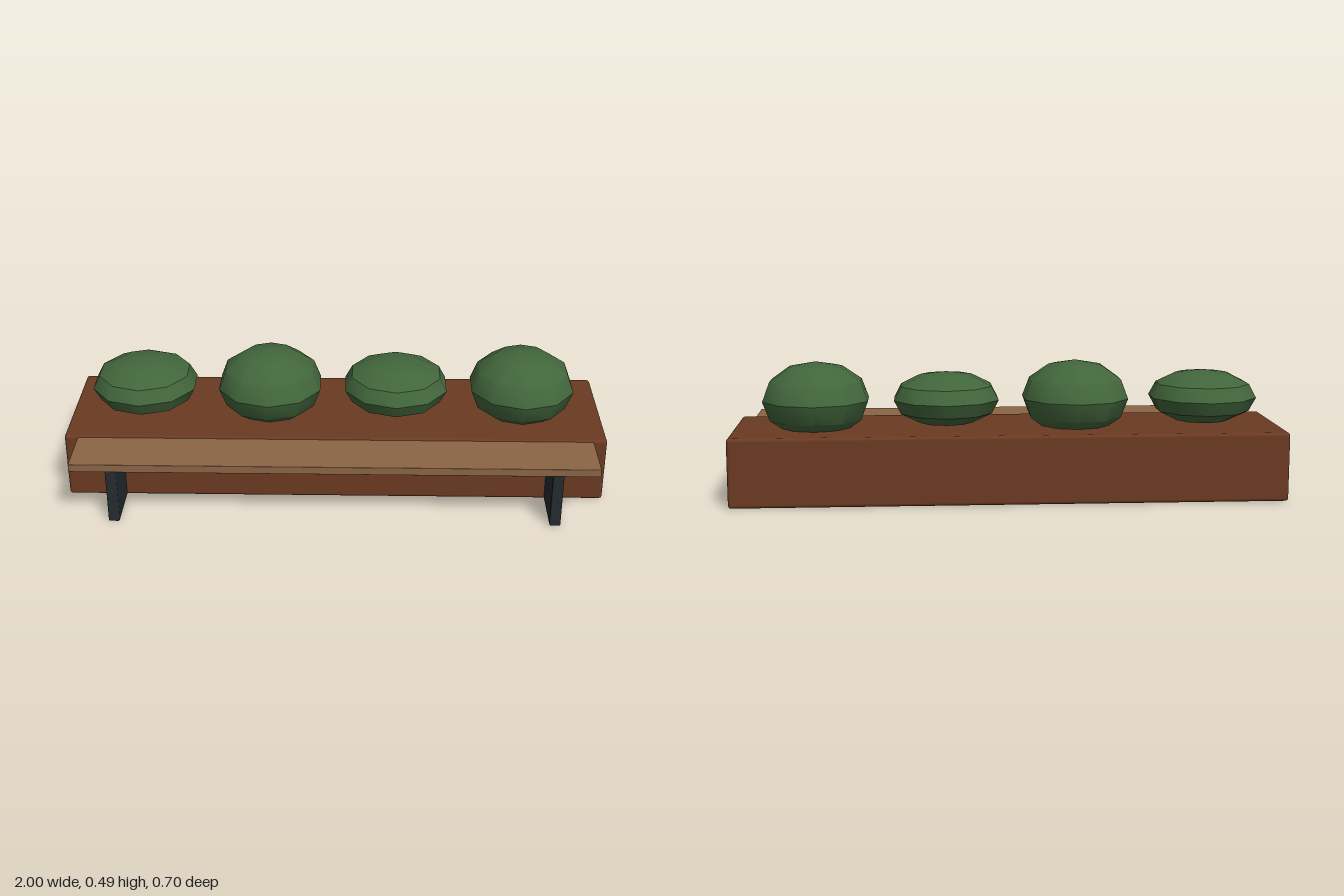
import * as THREE from 'three';
import { toCreasedNormals } from 'three/addons/utils/BufferGeometryUtils.js';
import { RoundedBoxGeometry } from 'three/addons/geometries/RoundedBoxGeometry.js';

const material = (color) => new THREE.MeshStandardMaterial({ color });

export function createModel() {
  const model = new THREE.Group();
  const rust = material(0x6b3a22);
  const wood = material(0x8b6545);
  const metal = material(0x252b2f);
  const leaf = material(0x42663c);

  // Adds a box with softened edges, placed by its centre
  function addBox(name, size, radius, position, mat) {
    const mesh = new THREE.Mesh(new RoundedBoxGeometry(...size, 2, radius), mat);
    mesh.name = name;
    mesh.position.set(...position);
    model.add(mesh);
  }

  // Long planter with a bench plank along its front
  addBox('planterBox', [2, 0.25, 0.5], 0.012, [0, 0.125, -0.1], rust);
  addBox('benchPlank', [1.9, 0.03, 0.2], 0.002, [0, 0.23, 0.25], wood);

  // Bench supports
  for (const side of [-1, 1]) {
    addBox(side < 0 ? 'rightSupport' : 'leftSupport',
      [0.04, 0.21, 0.2], 0.005, [side * 0.803, 0.105, 0.238], metal);
  }

  // Row of shrubs, alternating low and tall
  for (let i = 0; i < 4; i++) {
    const geometry = new THREE.SphereGeometry(0.2, 10, 6);
    geometry.rotateY(Math.PI / 2);
    geometry.scale(1, i % 2 ? 0.7 : 0.5, 1);
    const shrub = new THREE.Mesh(toCreasedNormals(geometry, THREE.MathUtils.degToRad(35)), leaf);
    shrub.name = `shrub${i + 1}`;
    shrub.position.set(-0.725 + i * 0.475, 0.35, -0.1);
    model.add(shrub);
  }

  return model;
}
